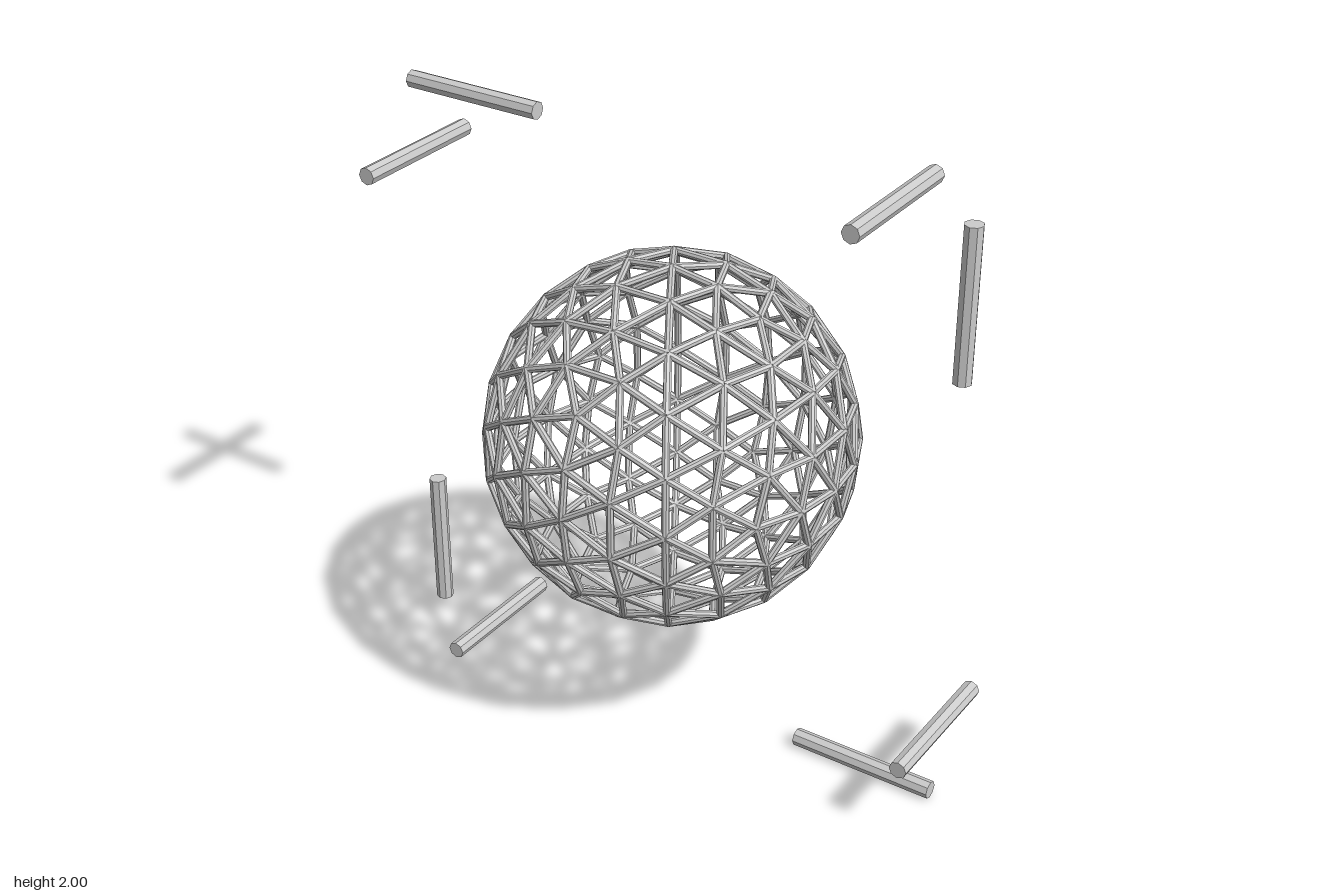
import * as THREE from 'three';
import { mergeGeometries } from 'three/addons/utils/BufferGeometryUtils.js';

const CENTER_Y = 1;
const SPHERE_RADIUS = 0.5825;
const STRUT_RADIUS = 0.0122;
const BAR_RADIUS = 0.029;
const BAR_LENGTH = 0.4854;

// Split each spherical triangle into four, repeatedly
function subdivide(triangles, depth) {
  if (depth === 0) return triangles;
  const mid = (a, b) => a.clone().add(b).normalize();
  const next = triangles.flatMap(([a, b, c]) => {
    const ab = mid(a, b), bc = mid(b, c), ca = mid(c, a);
    return [[a, ab, ca], [ab, b, bc], [ca, bc, c], [ab, bc, ca]];
  });
  return subdivide(next, depth - 1);
}

// Cylinder running from one point to another
function strut(a, b) {
  const dir = b.clone().sub(a);
  const geo = new THREE.CylinderGeometry(STRUT_RADIUS, STRUT_RADIUS, dir.length(), 8);
  const turn = new THREE.Quaternion().setFromUnitVectors(
    new THREE.Vector3(0, 1, 0), dir.normalize());
  geo.applyQuaternion(turn);
  const m = a.clone().add(b).multiplyScalar(0.5);
  return geo.translate(m.x, m.y, m.z);
}

// One strut per unique edge of the geodesic sphere
function latticeGeometry() {
  const pos = new THREE.IcosahedronGeometry(1, 0).toNonIndexed
    ? new THREE.IcosahedronGeometry(1, 0).attributes.position : null;
  const faces = [];
  for (let i = 0; i < pos.count; i += 3) {
    faces.push([0, 1, 2].map((k) =>
      new THREE.Vector3().fromBufferAttribute(pos, i + k).normalize()));
  }
  const key = (v) => v.toArray().map((n) => Math.round(n * 1000)).map((n) => n + 0).join(',');
  const edges = new Map();
  for (const tri of subdivide(faces, 2)) {
    for (let k = 0; k < 3; k++) {
      const a = tri[k], b = tri[(k + 1) % 3];
      edges.set([key(a), key(b)].sort().join('|'), [a, b]);
    }
  }
  return mergeGeometries([...edges.values()].map(([a, b]) =>
    strut(a.clone().multiplyScalar(SPHERE_RADIUS), b.clone().multiplyScalar(SPHERE_RADIUS))));
}

export function createModel() {
  const model = new THREE.Group();
  model.name = 'geodesicSphereWithBars';
  const material = new THREE.MeshStandardMaterial({ color: 0xcccccc, flatShading: true });

  // Geodesic lattice sphere
  const sphere = new THREE.Mesh(latticeGeometry(), material);
  sphere.name = 'latticeSphere';
  sphere.position.y = CENTER_Y;
  model.add(sphere);

  // Four corners, each a quarter turn of the same pair of bars
  const barGeo = new THREE.CylinderGeometry(BAR_RADIUS, BAR_RADIUS, BAR_LENGTH, 8);
  const far = 0.971, near = 0.728;
  for (let i = 0; i < 4; i++) {
    const corner = new THREE.Group();
    corner.name = `cornerBars${i + 1}`;
    corner.position.y = CENTER_Y;
    corner.rotation.z = -i * Math.PI / 2;

    const edgeBar = new THREE.Mesh(barGeo, material);
    edgeBar.name = 'edgeBar';
    edgeBar.position.set(-near, far, 0);
    edgeBar.rotation.z = Math.PI / 2;

    const depthBar = new THREE.Mesh(barGeo, material);
    depthBar.name = 'depthBar';
    depthBar.position.set(-far, near, 0);
    depthBar.rotation.x = Math.PI / 2;

    corner.add(edgeBar, depthBar);
    model.add(corner);
  }
  return model;
}
